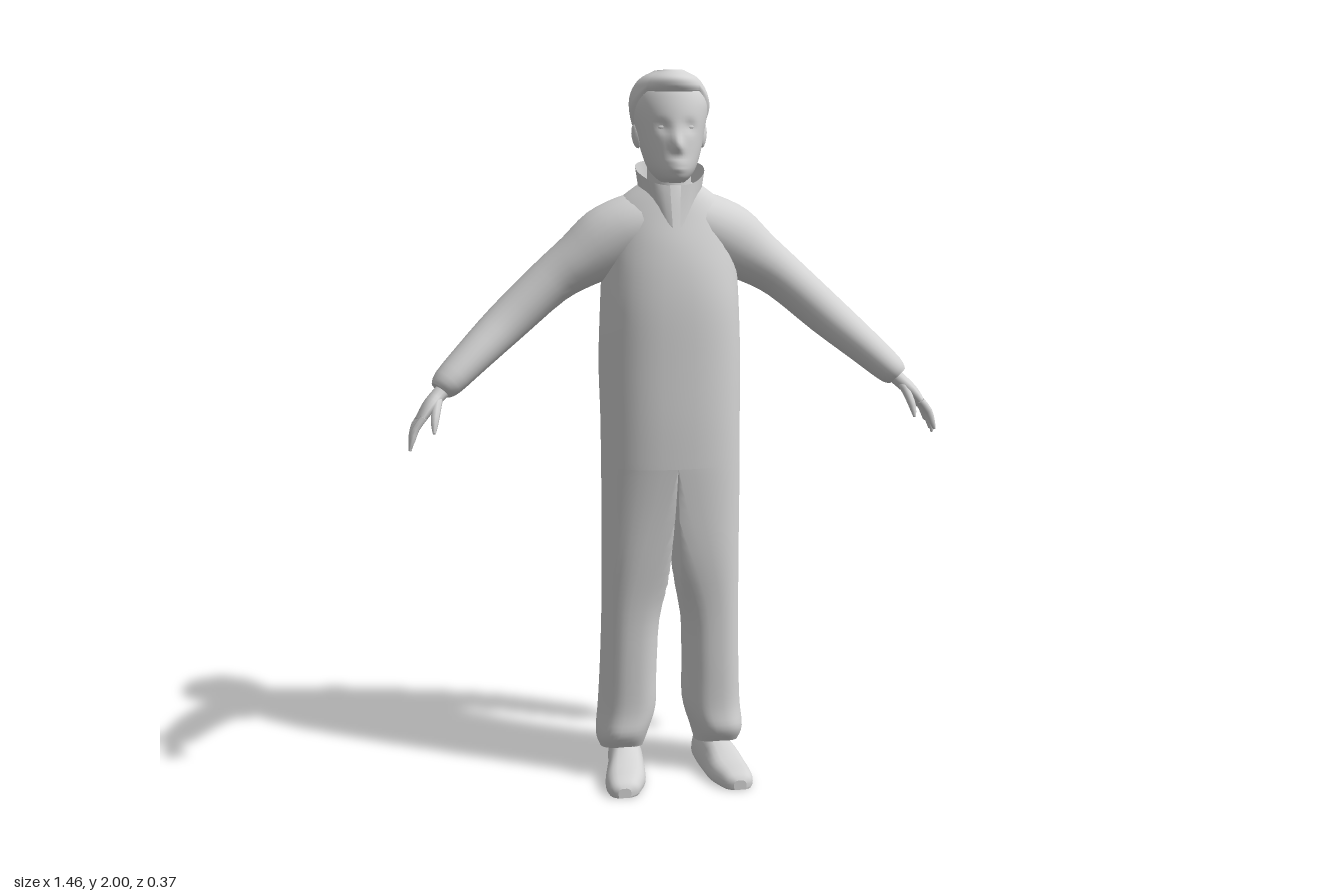
import * as THREE from 'three';

const grey = new THREE.MeshStandardMaterial({ name: 'plainGrey', color: 0xd4d4d4, side: THREE.DoubleSide });
const TAU = Math.PI * 2;
const range = (n) => Array.from({ length: n }, (_, i) => i);
const bump = (d, s) => Math.exp(-(d * d) / (s * s));

// Smoothly resample rows of numbers, k steps between neighbours
function smooth(rows, k) {
  const at = (i) => rows[Math.min(rows.length - 1, Math.max(0, i))];
  const out = [];
  for (let i = 0; i < rows.length - 1; i++) {
    for (let s = 0; s < k; s++) {
      const t = s / k;
      out.push(rows[i].map((p1, d) => {
        const p2 = at(i + 1)[d];
        const m1 = (p2 - at(i - 1)[d]) / 2, m2 = (at(i + 2)[d] - p1) / 2;
        return p1 + m1 * t + (3 * (p2 - p1) - 2 * m1 - m2) * t * t + (2 * (p1 - p2) + m1 + m2) * t ** 3;
      }));
    }
  }
  out.push(rows[rows.length - 1]);
  return out;
}

// Skin a list of rings; side = -1 mirrors the result in x
function loft(name, rings, { side = 1, closed = true, capped = true } = {}) {
  const n = rings[0].length, pos = [], idx = [];
  const quadsAround = closed ? n : n - 1;
  const tri = (a, b, c) => (side > 0 ? idx.push(a, b, c) : idx.push(a, c, b));
  const put = (p) => pos.push(p[0] * side, p[1], p[2]);
  rings.forEach((ring) => ring.forEach(put));
  for (let i = 0; i < rings.length - 1; i++) {
    for (let j = 0; j < quadsAround; j++) {
      const a = i * n + j, b = i * n + ((j + 1) % n);
      tri(a, b, a + n);
      tri(b, b + n, a + n);
    }
  }
  if (capped) {
    [rings[0], rings[rings.length - 1]].forEach((ring, end) => {
      const start = pos.length / 3;
      ring.forEach(put);
      put([0, 1, 2].map((d) => ring.reduce((s, p) => s + p[d], 0) / n));
      for (let j = 0; j < n; j++) {
        const a = start + j, b = start + ((j + 1) % n);
        if (end) tri(a, b, start + n); else tri(b, a, start + n);
      }
    });
  }
  const g = new THREE.BufferGeometry();
  g.setAttribute('position', new THREE.Float32BufferAttribute(pos, 3));
  g.setIndex(idx);
  g.computeVertexNormals();
  const mesh = new THREE.Mesh(g, grey);
  mesh.name = name;
  return mesh;
}

// Rounded section, power < 1 makes it boxier; angle 0 is the front
const soft = (v, power) => Math.sign(v) * Math.abs(v) ** power;
function section(y, cx, w, zf, zb, { power = 0.8, inner = -9, tilt = 0 } = {}) {
  return range(40).map((j) => {
    const a = (j / 40) * TAU;
    const z = (zf + zb) / 2 + ((zf - zb) / 2) * soft(Math.cos(a), power);
    return [Math.max(inner, cx + w * soft(Math.sin(a), power)), y + tilt * z, z];
  });
}

// Limb along rows of [x, y, z, radius in depth, radius across]
function limb(name, rows, side, n = 24, k = 3) {
  const path = smooth(rows, k), Z = new THREE.Vector3(0, 0, 1);
  const v3 = (r) => new THREE.Vector3(r[0], r[1], r[2]);
  const rings = path.map((r, i) => {
    const t = v3(path[Math.min(i + 1, path.length - 1)]).sub(v3(path[Math.max(i - 1, 0)])).normalize();
    const u = Z.clone().addScaledVector(t, -t.z).normalize();
    const v = t.clone().cross(u);
    return range(n).map((j) => {
      const a = (j / n) * TAU;
      return v3(r).addScaledVector(u, Math.cos(a) * r[3]).addScaledVector(v, Math.sin(a) * r[4]).toArray();
    });
  });
  return loft(name, rings, { side });
}

// Head outline rows: height, half width, front z, back z
const headRows = smooth([
  [1.70, 0.034, 0.078, -0.07], [1.715, 0.05, 0.098, -0.09], [1.74, 0.066, 0.104, -0.105],
  [1.78, 0.08, 0.099, -0.115], [1.83, 0.092, 0.094, -0.135], [1.88, 0.102, 0.088, -0.15],
  [1.915, 0.102, 0.08, -0.152], [1.945, 0.09, 0.068, -0.143], [1.968, 0.068, 0.048, -0.12],
  [1.982, 0.035, 0.015, -0.08],
], 5);
function headPoint(a, y, grow = 0) {
  let i = 0;
  while (i < headRows.length - 2 && headRows[i + 1][0] < y) i++;
  const [p, q] = [headRows[i], headRows[i + 1]], t = (y - p[0]) / (q[0] - p[0]);
  const [w, zf, zb] = [1, 2, 3].map((d) => p[d] + (q[d] - p[d]) * t);
  return [(w + grow) * Math.sin(a), y, (zf + zb) / 2 + ((zf - zb) / 2 + grow) * Math.cos(a)];
}

function makeHead() {
  const g = new THREE.Group();
  g.name = 'head';
  const n = 64;
  // Face: nose, eye sockets and lips are pushed out of the basic outline
  g.add(loft('skullAndFace', headRows.map(([y]) => range(n).map((j) => {
    const p = headPoint((j / n) * TAU, y), x = Math.abs(p[0]);
    if (p[2] > 0) {
      p[2] += 0.022 * bump(x, 0.015) * bump(y - 1.797, y > 1.797 ? 0.032 : 0.014);
      p[2] -= 0.009 * bump(x - 0.036, 0.017) * bump(y - 1.848, 0.016);
      p[2] += 0.005 * bump(x, 0.025) * (bump(y - 1.755, 0.007) + bump(y - 1.738, 0.007));
    }
    return p;
  }))));
  // Hair cap with a raised fringe, low at the nape
  g.add(loft('hair', range(17).map((i) => range(n).map((j) => {
    const a = (j / n) * TAU, c = Math.cos(a), t = i / 16;
    const line = c > 0 ? 1.85 + 0.092 * Math.min(1, c * 1.6) : 1.85 - 0.08 * Math.min(1, -c * 1.5);
    const y = line + (1.982 - line) * Math.sin(t * TAU / 4);
    const p = headPoint(a, y, 0.006 * Math.min(1, i / 2));
    const quiff = Math.max(0, c) * bump(y - 1.968, 0.02);
    p[2] += 0.024 * quiff;
    p[1] += 0.012 * t + 0.006 * quiff;
    return p;
  }))));
  for (const s of [-1, 1]) {
    const eye = new THREE.Mesh(new THREE.SphereGeometry(0.011, 12, 8), grey);
    eye.name = 'eye';
    eye.scale.set(1.2, 0.6, 0.6);
    eye.position.set(s * 0.036, 1.847, 0.07);
    const ear = new THREE.Mesh(new THREE.SphereGeometry(0.03, 12, 10), grey);
    ear.name = 'ear';
    ear.scale.set(0.35, 1.1, 0.65);
    ear.rotation.set(-0.25, s * -0.3, s * -0.15);
    ear.position.set(s * 0.092, 1.82, -0.025);
    g.add(eye, ear);
  }
  g.add(loft('neck', [[1.58, 0.07, 0.04, -0.11], [1.66, 0.06, 0.035, -0.1], [1.76, 0.06, 0.035, -0.1]]
    .map(([y, w, f, b]) => section(y, 0, w, f, b, { power: 1 }))));
  return g;
}

function makeHand(side) {
  const g = new THREE.Group();
  g.name = 'hand';
  g.add(limb('palm', [[0.6, 1.18, 0.03, 0.026, 0.022], [0.645, 1.14, 0.05, 0.027, 0.02],
    [0.675, 1.11, 0.068, 0.04, 0.018], [0.7, 1.075, 0.08, 0.04, 0.013]], side, 14));
  for (let f = 0; f < 4; f++) {
    const z = 0.05 + f * 0.021, tip = [1.025, 1.005, 0.998, 1.01][f];
    g.add(limb('finger', [[0.69, 1.09, z, 0.01, 0.01], [0.712, 1.06, z + 0.003, 0.01, 0.01],
      [0.722, 1.03, z + 0.007, 0.009, 0.008], [0.728, tip, z + 0.009, 0.004, 0.004]], side, 8, 2));
  }
  g.add(limb('thumb', [[0.65, 1.13, 0.07, 0.014, 0.014], [0.657, 1.1, 0.105, 0.013, 0.012],
    [0.662, 1.075, 0.125, 0.011, 0.01], [0.664, 1.05, 0.138, 0.004, 0.004]], side, 8, 2));
  return g;
}

export function createModel() {
  const model = new THREE.Group();
  model.name = 'standingMan';
  model.add(makeHead());

  // Torso of the overall: height, half width, front z, back z, roundness
  model.add(loft('torso', smooth([
    [0.92, 0.195, 0.115, -0.143, 0.8], [1.05, 0.195, 0.12, -0.158, 0.8], [1.2, 0.197, 0.121, -0.18, 0.8],
    [1.35, 0.192, 0.12, -0.179, 0.82], [1.45, 0.188, 0.112, -0.176, 0.9], [1.53, 0.186, 0.097, -0.168, 1],
    [1.6, 0.174, 0.075, -0.155, 1], [1.65, 0.137, 0.059, -0.138, 1], [1.69, 0.085, 0.045, -0.115, 1],
  ], 4).map(([y, w, f, b, power]) => section(y, 0, w, f, b, { power }))));

  // Standing collar, open in a V at the front
  model.add(loft('collar', range(5).map((i) => range(41).map((j) => {
    const t = i / 4, a = 0.12 + (j / 40) * (TAU - 0.24), c = Math.cos(a), front = Math.max(0, c) ** 6;
    const low = 1.672 - 0.035 * c - 0.06 * front;
    const high = 1.722 - 0.03 * c + 0.012 * Math.sin(a) ** 2;
    const w = 0.085 + 0.01 * t + 0.03 * t * front;
    return [w * Math.sin(a), low + (high - low) * t, -0.025 + 0.09 * c + 0.018 * front * (1 - t)];
  })), { closed: false, capped: false }));

  for (const side of [-1, 1]) {
    model.add(limb('sleeve', [
      [0.03, 1.595, -0.04, 0.1, 0.085], [0.1, 1.57, -0.044, 0.108, 0.095], [0.175, 1.53, -0.048, 0.102, 0.098],
      [0.25, 1.482, -0.052, 0.09, 0.078], [0.33, 1.425, -0.055, 0.078, 0.065], [0.45, 1.32, -0.04, 0.07, 0.059],
      [0.55, 1.233, 0.003, 0.062, 0.05], [0.62, 1.17, 0.036, 0.054, 0.042], [0.64, 1.15, 0.045, 0.036, 0.03],
    ], side));
    model.add(makeHand(side));

    // Trouser leg: height, inner limit, centre x, half width, front z, back z, hem tilt
    model.add(loft('trouserLeg', smooth([
      [0.08, 0.075, 0.14, 0.06, 0.035, -0.125, 0.25], [0.12, 0.06, 0.14, 0.073, 0.057, -0.14, 0.2],
      [0.2, 0.042, 0.124, 0.082, 0.053, -0.139, 0], [0.33, 0.04, 0.12, 0.08, 0.06, -0.13, 0],
      [0.5, 0.026, 0.111, 0.085, 0.07, -0.116, 0], [0.65, 0.014, 0.075, 0.12, 0.087, -0.119, 0],
      [0.8, 0.005, 0.03, 0.165, 0.102, -0.127, 0], [0.92, 0, 0, 0.195, 0.115, -0.143, 0],
    ], 4).map(([y, inner, cx, w, f, b, tilt]) => section(y, cx, w, f, b, { inner, tilt })), { side }));

    // Shoe, heel to toe: z, centre x, half width, height
    model.add(loft('shoe', smooth([
      [-0.13, 0.125, 0.03, 0.05], [-0.11, 0.125, 0.045, 0.085], [-0.03, 0.13, 0.05, 0.1], [0.04, 0.14, 0.055, 0.09],
      [0.1, 0.15, 0.058, 0.062], [0.15, 0.16, 0.049, 0.05], [0.175, 0.163, 0.037, 0.04], [0.186, 0.165, 0.018, 0.028],
    ], 3).map(([z, cx, w, h]) => range(24).map((j) => {
      const a = (j / 24) * TAU, s = Math.sin(a);
      return [cx + w * soft(Math.cos(a), 0.7), s > 0 ? 0.015 + (h - 0.015) * s : 0.015 * (1 - Math.min(1, -s * 2.5)), z];
    })), { side }));
  }
  return model;
}
